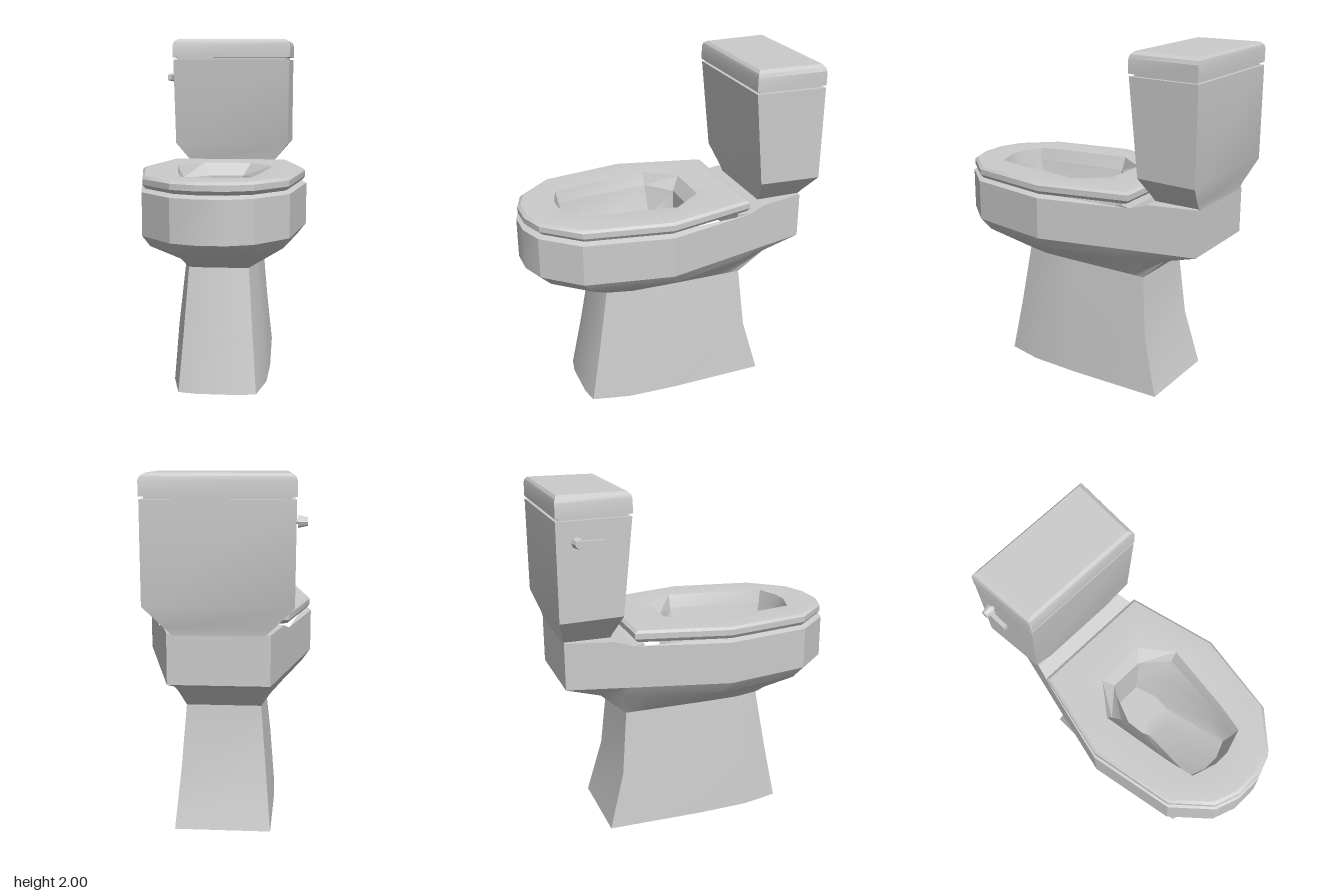
import * as THREE from 'three';
import { toCreasedNormals } from 'three/addons/utils/BufferGeometryUtils.js';

const material = new THREE.MeshStandardMaterial({ color: 0xcccccc });

// Mirror a half outline [x, z, y?] (front to back) into a closed ring
function ring(half, y, s = 1, cz = 0.2) {
  const right = half.map(([x, z, py]) => [x * s, py ?? y, cz + (z - cz) * s]);
  const left = right.map(([x, h, z]) => [-x, h, z]).reverse();
  return [...right, ...left];
}

// Skin between successive rings, with optional end caps
function loft(name, rings, capStart = true, capEnd = true, crease = 0.4) {
  const pos = [];
  const n = rings[0].length;
  const tri = (a, b, c) => pos.push(...a, ...b, ...c);
  for (let r = 0; r < rings.length - 1; r++) {
    const a = rings[r], b = rings[r + 1];
    for (let i = 0; i < n; i++) {
      const j = (i + 1) % n;
      tri(a[i], a[j], b[j]);
      tri(a[i], b[j], b[i]);
    }
  }
  const cap = (p, flip) => {
    const c = [0, 1, 2].map((k) => p.reduce((sum, v) => sum + v[k], 0) / n);
    p.forEach((v, i) => {
      const w = p[(i + 1) % n];
      if (flip) tri(c, w, v); else tri(c, v, w);
    });
  };
  if (capStart) cap(rings[0], true);
  if (capEnd) cap(rings[rings.length - 1], false);
  const geo = new THREE.BufferGeometry();
  geo.setAttribute('position', new THREE.Float32BufferAttribute(pos, 3));
  const mesh = new THREE.Mesh(toCreasedNormals(geo, crease), material);
  mesh.name = name;
  return mesh;
}

// Four-sided ring: front half-width, back half-width, front z, back z
const quad = (xf, xb, zf, zb, y) => ring([[xf, zf], [xb, zb]], y);

export function createModel() {
  const model = new THREE.Group();

  // Pedestal, flaring toward the floor
  model.add(loft('pedestal', [
    ring([[0.12, 0.54], [0.22, 0.52], [0.27, 0.30], [0.28, 0.0], [0.27, -0.565]], 0),
    ring([[0.11, 0.48], [0.195, 0.46], [0.245, 0.275], [0.255, 0.01], [0.24, -0.475]], 0.33),
    ring([[0.10, 0.41], [0.17, 0.40], [0.205, 0.25], [0.21, 0.02], [0.21, -0.44]], 0.70),
  ]));

  // Outer bowl, with the rear shelf raised a little
  const side = [[0.08, 0.85], [0.22, 0.80], [0.40, 0.60], [0.488, 0.10]];
  const rear = [[0.36, -0.43], [0.335, -0.53], [0.27, -0.80]];
  const rearTop = [[0.36, -0.43, 1.15], [0.335, -0.53, 1.18], [0.27, -0.80, 1.18]];
  model.add(loft('bowl', [
    ring([[0.10, 0.41], [0.17, 0.40], [0.205, 0.25], [0.21, 0.02],
      [0.21, -0.30], [0.21, -0.38], [0.21, -0.44]], 0.70),
    ring([[0.07, 0.78], [0.20, 0.735], [0.365, 0.55], [0.44, 0.08],
      [0.33, -0.40], [0.30, -0.49], [0.25, -0.60]], 0.845),
    ring([...side, ...rear], 0.91),
    ring([...side, ...rearTop], 1.15),
    ring([[0.07, 0.80], [0.20, 0.755], [0.36, 0.57], [0.44, 0.10], ...rearTop], 1.165),
  ], false, false));

  // Shelf under the tank
  const slice = (x, y, z) => [[x, 1.0, z], [-x, 1.0, z], [-x, y, z], [x, y, z]];
  model.add(loft('rearShelf', [
    slice(0.33, 1.15, -0.36), slice(0.357, 1.15, -0.43),
    slice(0.332, 1.18, -0.53), slice(0.267, 1.18, -0.798),
  ], true, true, 0.2));

  // Seat ring running over the top and down into the basin
  const seat = [[0.08, 0.84], [0.22, 0.79], [0.395, 0.595], [0.48, 0.10], [0.36, -0.425]];
  const crown = [[0.065, 0.73], [0.205, 0.685], [0.31, 0.53], [0.38, 0.08], [0.29, -0.32]];
  const hole = [[0.05, 0.63], [0.19, 0.585], [0.225, 0.42], [0.285, 0.0], [0.145, -0.18]];
  const holeLow = [[0.05, 0.61], [0.175, 0.572], [0.205, 0.42], [0.25, 0.0], [0.10, -0.13]];
  model.add(loft('seat', [
    ring(seat, 1.15, 0.85),
    ring(seat, 1.17, 0.97),
    ring(seat, 1.19),
    ring(seat, 1.222),
    ring(seat, 1.236, 0.97),
    ring(crown, 1.24),
    ring(hole, 1.235),
    ring(holeLow, 1.16),
  ], false, false));

  // Basin sloping to the drain
  model.add(loft('basin', [
    ring(holeLow, 1.16),
    ring([[0.05, 0.57], [0.15, 0.53], [0.18, 0.38], [0.18, 0.0], [0.09, -0.13]], 0.98),
    ring([[0.05, 0.17], [0.09, 0.15], [0.11, 0.11], [0.12, 0.0], [0.08, -0.13]], 0.80),
  ], false, true, 0.7));

  // Tank, tapering to a narrow foot
  model.add(loft('tank', [
    quad(0.24, 0.24, -0.53, -0.80, 1.175),
    quad(0.27, 0.275, -0.525, -0.805, 1.21),
    quad(0.365, 0.39, -0.485, -0.845, 1.33),
    quad(0.372, 0.392, -0.43, -0.845, 1.87),
  ]));

  // Tank lid with a shadow gap below and a chamfered top
  model.add(loft('tankLid', [
    quad(0.35, 0.37, -0.45, -0.825, 1.86),
    quad(0.35, 0.37, -0.45, -0.825, 1.884),
    quad(0.375, 0.395, -0.428, -0.845, 1.885),
    quad(0.375, 0.395, -0.428, -0.845, 1.965),
    quad(0.368, 0.386, -0.434, -0.84, 1.985),
    quad(0.345, 0.36, -0.45, -0.828, 2.0),
  ]));

  // Flush lever: pivot knob and forward arm
  const lever = new THREE.Group();
  lever.name = 'flushLever';
  const addPart = (name, geo, x, y, z) => {
    const mesh = new THREE.Mesh(toCreasedNormals(geo, 0.4), material);
    mesh.name = name;
    mesh.position.set(x, y, z);
    lever.add(mesh);
  };
  addPart('leverStem', new THREE.CylinderGeometry(0.014, 0.014, 0.05, 8).rotateZ(Math.PI / 2), -0.385, 1.757, -0.735);
  addPart('leverKnob', new THREE.CylinderGeometry(0.022, 0.032, 0.05, 8).rotateZ(Math.PI / 2), -0.424, 1.757, -0.735);
  addPart('leverArm', new THREE.BoxGeometry(0.024, 0.03, 0.14), -0.422, 1.757, -0.667);
  model.add(lever);

  return model;
}
